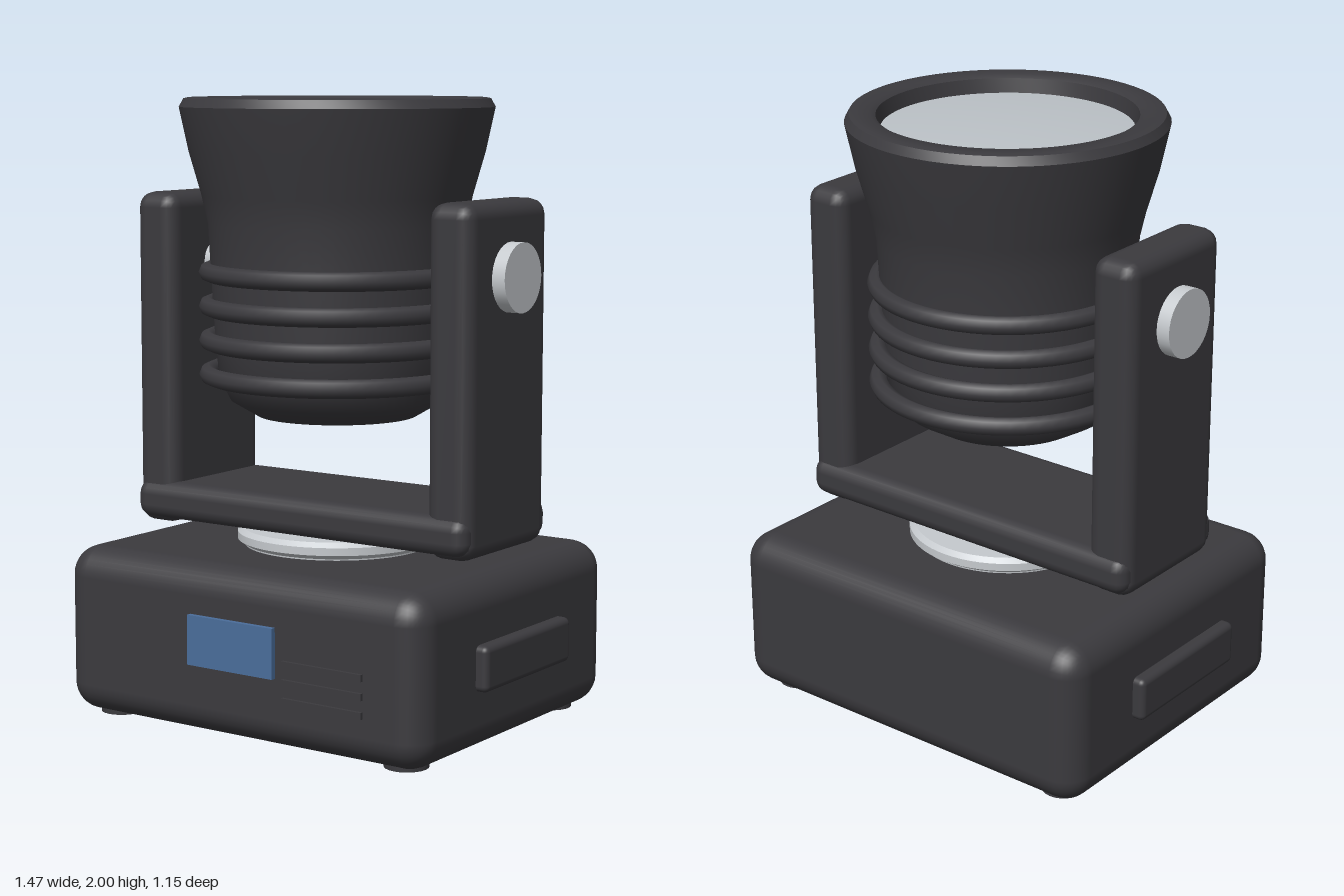
import * as THREE from 'three';
import { toCreasedNormals } from 'three/addons/utils/BufferGeometryUtils.js';
import { RoundedBoxGeometry } from 'three/addons/geometries/RoundedBoxGeometry.js';

const material = (name, color) => {
  const m = new THREE.MeshStandardMaterial({ color });
  m.name = name;
  return m;
};

export function createModel() {
  const housing = material('charcoal housing', 0x3b3a3e);
  const metal = material('silver metal', 0xc6cace);
  const glass = material('lens glass', 0xbcc2c7);
  const display = material('blue display', 0x4a6d9a);

  const model = new THREE.Group();
  model.name = 'movingHeadLight';
  model.position.z = -0.007;

  const add = (name, geometry, mat, x = 0, y = 0, z = 0) => {
    const mesh = new THREE.Mesh(geometry, mat);
    mesh.name = name;
    mesh.position.set(x, y, z);
    model.add(mesh);
    return mesh;
  };
  const rounded = (w, h, d, r, segments = 4) => new RoundedBoxGeometry(w, h, d, segments, r);
  const lathe = (points, segments = 64) => toCreasedNormals(
    new THREE.LatheGeometry(points.map(([r, y]) => new THREE.Vector2(r, y)), segments), 0.6);

  // Base box with display and vent slats on the front
  add('base', rounded(1.39, 0.545, 1.13, 0.095), housing, 0, 0.283, 0);
  add('displayPanel', new THREE.BoxGeometry(0.33, 0.16, 0.03), display, 0, 0.32, 0.567);
  for (let i = 0; i < 3; i++) {
    add('ventSlat', new THREE.BoxGeometry(0.295, 0.022, 0.02), housing, 0.343, 0.175 + i * 0.058, 0.566);
  }

  // Feet under the corners
  for (const x of [-0.56, 0.56]) {
    for (const z of [-0.43, 0.43]) {
      add('foot', new THREE.CylinderGeometry(0.07, 0.07, 0.04, 24), housing, x, 0.02, z);
    }
  }

  // Pan turntable
  add('turntable', lathe([[0, 0.54], [0.3, 0.54], [0.302, 0.56], [0.325, 0.575], [0.325, 0.6], [0.31, 0.615], [0, 0.615]]), metal);

  // Yoke: crossbar, arms, tilt axles and caps, with the side handles
  add('yokeCrossbar', rounded(1.29, 0.125, 0.51, 0.045, 2), housing, 0, 0.673, 0);
  for (const side of [-1, 1]) {
    add('yokeArm', rounded(0.16, 1.095, 0.475, 0.05, 2), housing, side * 0.57, 1.143, 0);
    add('tiltAxle', new THREE.CylinderGeometry(0.068, 0.068, 0.2, 32), metal, side * 0.43, 1.457, 0)
      .rotation.z = Math.PI / 2;
    add('tiltCap', new THREE.CylinderGeometry(0.109, 0.109, 0.1, 32), metal, side * 0.645, 1.457, 0)
      .rotation.z = Math.PI / 2;
    add('handle', rounded(0.1, 0.145, 0.51, 0.02), housing, side * 0.685, 0.283, 0);
  }

  // Lamp head: cup flaring to a rim, with a recess for the lens
  add('headShell', lathe([
    [0, 0.98], [0.26, 0.98], [0.345, 1.03], [0.382, 1.1], [0.395, 1.25], [0.405, 1.42],
    [0.415, 1.6], [0.435, 1.69], [0.475, 1.83], [0.505, 1.97], [0.49, 1.997], [0.475, 2],
    [0.425, 2], [0.408, 1.99], [0.396, 1.93], [0, 1.93],
  ]), housing);

  // Cooling rings
  for (let i = 0; i < 4; i++) {
    add('coolingRing', new THREE.TorusGeometry(0.416, 0.03, 8, 64), housing, 0, 1.115 + i * 0.11, 0)
      .rotation.x = Math.PI / 2;
  }

  // Gently domed lens
  add('lens', lathe([[0.397, 1.935], [0.395, 1.945], [0.3, 1.952], [0.15, 1.958], [0, 1.96]]), glass);

  return model;
}
